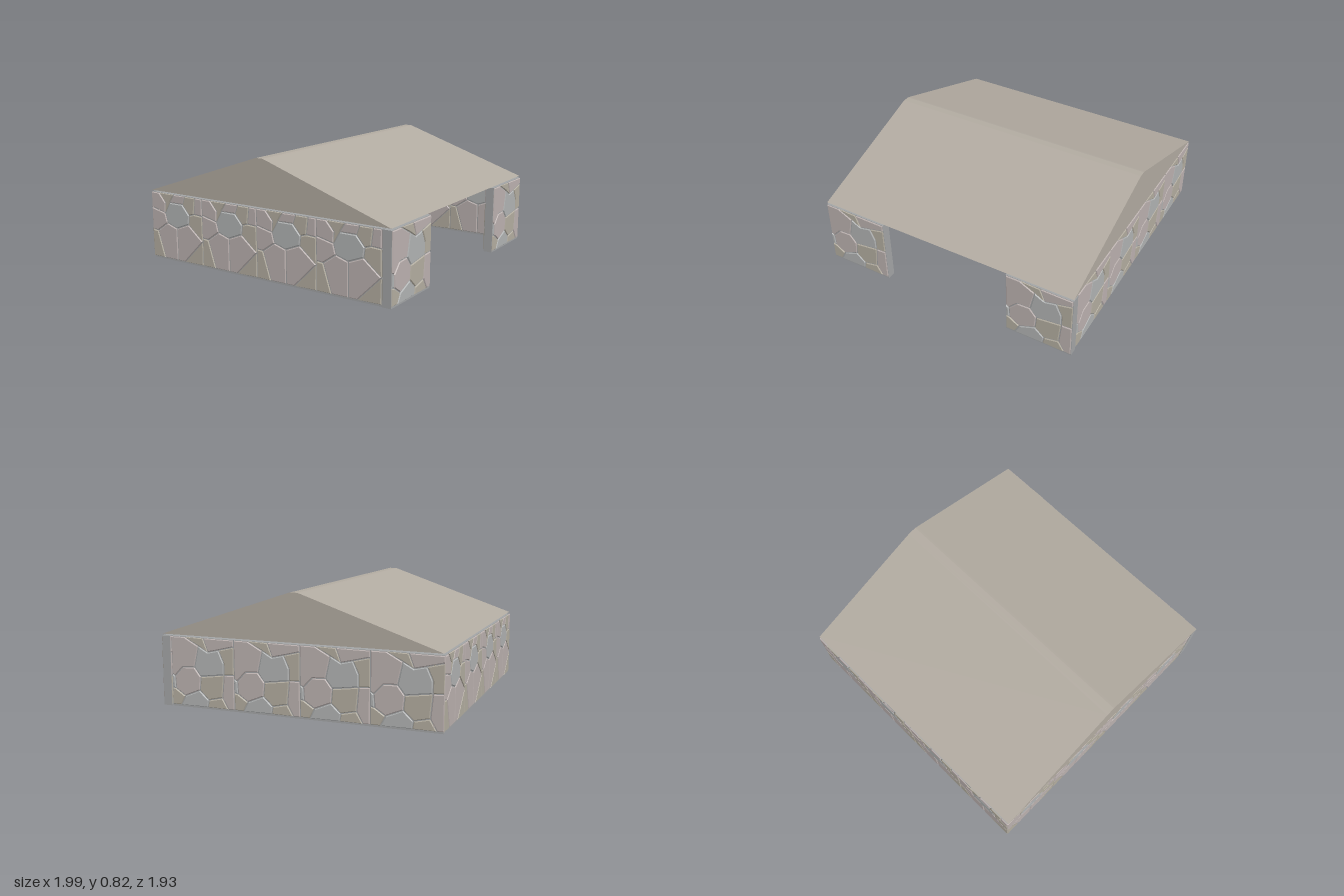
import * as THREE from 'three';
import { mergeGeometries } from 'three/addons/utils/BufferGeometryUtils.js';

const HEIGHT = 0.483, THICK = 0.075, RELIEF = 0.007;
const mat = (color) => new THREE.MeshStandardMaterial({ color });

// Stone layouts: corner points in percent of a tile, stones grouped by tint
const layoutA = {
  points: [[0, 0], [24, 0], [50, 0], [64, 0], [100, 0], [0, 42], [11, 41], [31, 55], [50, 49],
    [73, 58], [100, 36], [0, 76], [27, 70], [37, 87], [62, 87], [75, 72], [100, 74], [84, 75],
    [0, 100], [16, 100], [28, 86], [45, 100], [67, 100], [87, 100], [100, 100]],
  stones: {
    rose: [[1, 2, 8, 7, 6], [2, 3, 10, 9, 8], [5, 6, 7, 12, 11], [11, 12, 20, 19, 18],
      [13, 14, 22, 21], [17, 16, 24, 23]],
    sand: [[0, 1, 6, 5], [3, 4, 10], [9, 10, 16, 17, 15], [12, 13, 21, 19, 20], [14, 15, 17, 23, 22]],
    slate: [[7, 8, 9, 15, 14, 13, 12]],
  },
};
const layoutB = {
  points: [[0, 0], [14, 0], [57, 0], [90, 0], [100, 0], [0, 25], [6, 24], [21, 14], [45, 24],
    [59, 11], [81, 16], [5, 42], [18, 56], [37, 57], [47, 44], [84, 49], [0, 45], [44, 88],
    [59, 80], [100, 90], [52, 100], [0, 100], [22, 100], [100, 100], [100, 50], [76, 84], [84, 66]],
  stones: {
    rose: [[3, 4, 24, 15, 10], [6, 7, 8, 14, 13, 12, 11], [18, 25, 19, 23, 20], [12, 13, 17, 22, 21, 16, 11]],
    sand: [[0, 1, 7, 6, 5], [2, 3, 10, 9], [8, 9, 10, 15, 14], [15, 24, 19, 25, 26], [17, 18, 20, 22]],
    slate: [[1, 2, 9, 8, 7], [13, 14, 15, 26, 25, 18, 17], [5, 6, 11, 16]],
  },
};

// One bevelled stone standing proud of the mortar
function stone(corners, points, width) {
  const base = 0.01;
  const shape = new THREE.Shape(corners.map((i) => new THREE.Vector2(
    (points[i][0] / 100 - 0.5) * width, base + points[i][1] / 100 * (HEIGHT - base))));
  const bevel = 0.005, gap = 0.003;
  return new THREE.ExtrudeGeometry(shape, {
    depth: 0.001, bevelThickness: 0.006, bevelSize: bevel, bevelOffset: -bevel - gap, bevelSegments: 1,
  }).translate(0, 0, THICK / 2 - RELIEF);
}

// Geometry of a tile's stones, layout A on +z and layout B on -z, by tint
function tileGeometries(width) {
  const result = {};
  for (const tint of ['rose', 'sand', 'slate']) {
    const front = layoutA.stones[tint].map((s) => stone(s, layoutA.points, width));
    const back = layoutB.stones[tint].map((s) => stone(s, layoutB.points, width).rotateY(Math.PI));
    result[tint] = mergeGeometries([...front, ...back]);
  }
  return result;
}

export function createModel() {
  const model = new THREE.Group();
  model.name = 'stoneShelter';
  const mats = { rose: mat(0xbab0ae), sand: mat(0xb2ac9f), slate: mat(0xb0b2b2), mortar: mat(0xa2a4a5) };

  // Wall running along its local x from 0, made of equal tiles around a mortar core
  function wall(name, tiles, width, trimStart, trimEnd) {
    const group = new THREE.Group();
    group.name = name;
    const length = tiles * width - trimStart - trimEnd;
    const core = new THREE.Mesh(new THREE.BoxGeometry(length, HEIGHT, THICK - 2 * RELIEF), mats.mortar);
    core.name = 'mortarCore';
    core.position.set(trimStart + length / 2, HEIGHT / 2, 0);
    group.add(core);
    const geometries = tileGeometries(width);
    for (let i = 0; i < tiles; i++) {
      for (const tint in geometries) {
        const mesh = new THREE.Mesh(geometries[tint], mats[tint]);
        mesh.name = tint + 'Stones';
        mesh.position.x = (i + 0.5) * width;
        group.add(mesh);
      }
    }
    model.add(group);
    return group;
  }

  // Front and back walls
  const edge = 0.965, side = 0.995, inset = THICK / 2;
  const frontTile = (2 * side - THICK) / 4, sideTile = edge / 2;
  wall('frontWall', 4, frontTile, 0.008, 0).position.set(-side, 0, edge - inset);
  wall('backWall', 4, frontTile, 0.008, 0).position.set(-side, 0, -edge + inset);

  // Full wall on the right, two short walls beside the opening on the left
  const sides = [
    ['rightWall', 4, -edge, -side + inset, 0.008, 0.008],
    ['leftFrontWall', 1, edge - sideTile, side - inset, 0, 0],
    ['leftBackWall', 1, -edge, side - inset, 0, 0],
  ];
  for (const [name, tiles, z, x, start, end] of sides) {
    const w = wall(name, tiles, sideTile, start, end);
    w.rotation.y = -Math.PI / 2;
    w.position.set(x, 0, z);
  }

  // Solid gabled roof with a blunted ridge, hovering just above the walls
  const profile = [[-0.985, 0.495], [0.985, 0.495], [0.04, 0.812], [0.025, 0.816], [-0.025, 0.816], [-0.04, 0.812]];
  const roof = new THREE.Mesh(
    new THREE.ExtrudeGeometry(new THREE.Shape(profile.map((p) => new THREE.Vector2(...p))),
      { depth: 2 * edge, bevelEnabled: false }).translate(0, 0, -edge),
    mat(0xb1aaa0));
  roof.name = 'roof';
  model.add(roof);
  return model;
}
